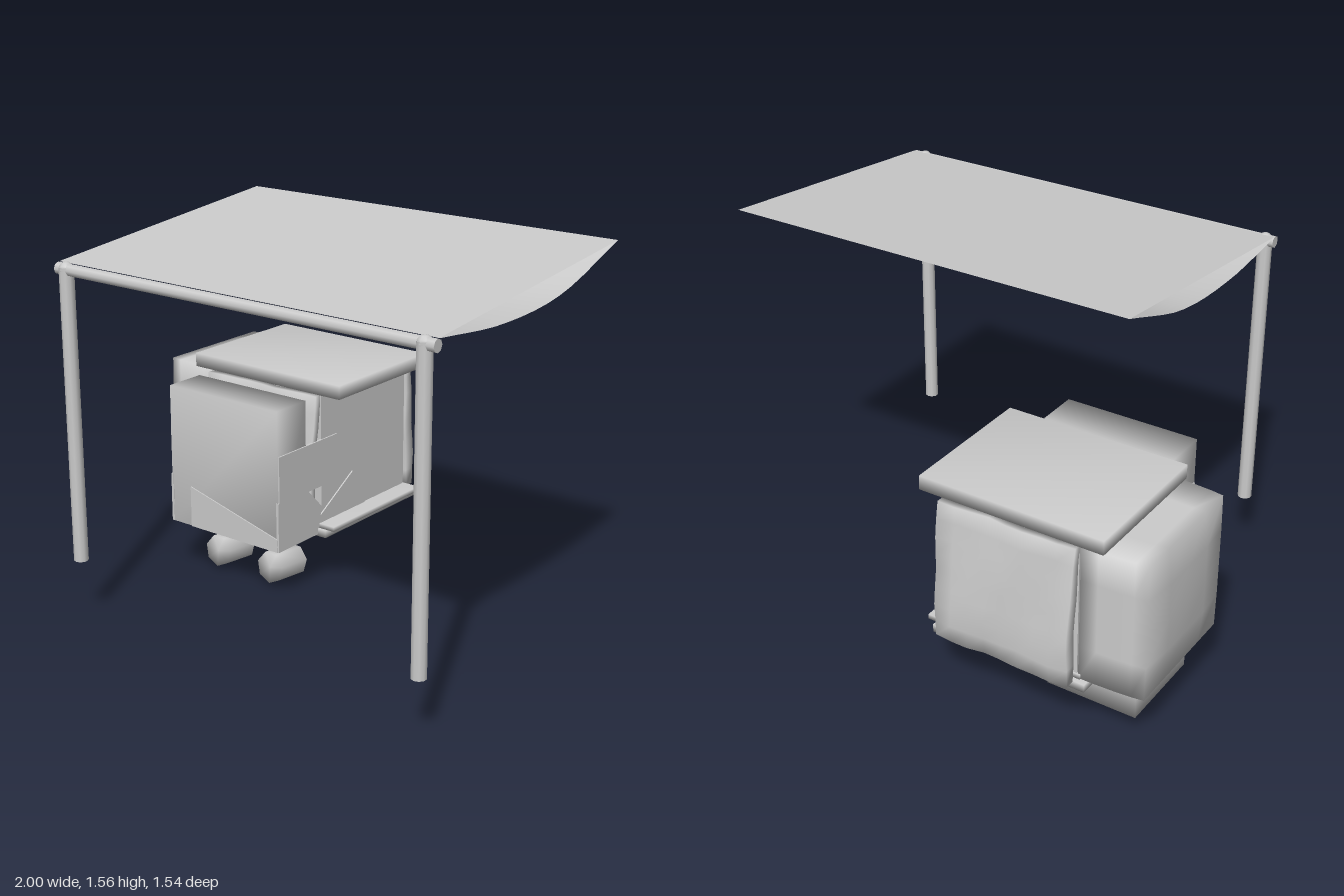
import * as THREE from 'three';
import { mergeVertices } from 'three/addons/utils/BufferGeometryUtils.js';

const material = new THREE.MeshStandardMaterial({ color: 0xcccccc });
const flat = new THREE.MeshStandardMaterial({ color: 0xcccccc, flatShading: true });
const open = new THREE.MeshStandardMaterial({ color: 0xcccccc, side: THREE.DoubleSide });

// Shared corner normals give the boxes their soft, padded shading.
function soften(geometry) {
  geometry.deleteAttribute('normal');
  geometry.deleteAttribute('uv');
  const merged = mergeVertices(geometry);
  merged.computeVertexNormals();
  return merged;
}

// Moves every vertex by a rule.
function bend(geometry, rule) {
  const p = geometry.attributes.position;
  const v = new THREE.Vector3();
  for (let i = 0; i < p.count; i++) {
    rule(v.fromBufferAttribute(p, i));
    p.setXYZ(i, v.x, v.y, v.z);
  }
  geometry.computeVertexNormals();
  return geometry;
}

// Box given by its lower and upper limits on each axis.
function boxGeometry([x0, x1], [y0, y1], [z0, z1], segments = [1, 1, 1]) {
  const g = new THREE.BoxGeometry(x1 - x0, y1 - y0, z1 - z0, ...segments);
  return g.translate((x0 + x1) / 2, (y0 + y1) / 2, (z0 + z1) / 2);
}

function add(parent, name, geometry, mat = material) {
  const mesh = new THREE.Mesh(geometry, mat);
  mesh.name = name;
  parent.add(mesh);
  return mesh;
}

// Linear interpolation through [position, value] pairs.
function lerpTable(table, t) {
  for (let i = 1; i < table.length; i++) {
    const [a, va] = table[i - 1];
    const [b, vb] = table[i];
    if (t <= b) return THREE.MathUtils.mapLinear(t, a, b, va, vb);
  }
  return table[table.length - 1][1];
}

function createCanopy() {
  const canopy = new THREE.Group();
  canopy.name = 'canopy';
  const xs = [-0.715, 1], zs = [-0.395, 0.735];
  const width = xs[1] - xs[0], depth = zs[1] - zs[0];
  const midX = (xs[0] + xs[1]) / 2, midZ = (zs[0] + zs[1]) / 2;

  // Taut upper sheet, rising towards the back
  const top = new THREE.PlaneGeometry(width, depth).rotateX(-Math.PI / 2).translate(midX, 0, midZ);
  bend(top, v => { v.y = THREE.MathUtils.mapLinear(v.z, zs[0], zs[1], 1.56, 1.445); });
  add(canopy, 'canopyTop', top, open);

  // Sagging underside with two deeper folds
  const edge = new THREE.CatmullRomCurve3([[-0.395, 1.56], [0, 1.435], [0.37, 1.41], [0.735, 1.443]]
    .map(([z, y]) => new THREE.Vector3(0, y, z)));
  const profile = edge.getPoints(40).map(p => [p.z, p.y]);
  const folds = [[-0.715, 0], [-0.3, 0.012], [-0.07, 0.045], [0.14, 0.025], [0.35, 0.045], [0.6, 0.012], [1, 0]];
  const sag = new THREE.PlaneGeometry(width, depth, 32, 14).rotateX(-Math.PI / 2).translate(midX, 0, midZ);
  bend(sag, v => {
    const across = Math.sin(Math.PI * (v.z - zs[0]) / depth);
    v.y = lerpTable(profile, v.z) - lerpTable(folds, v.x) * across;
  });
  add(canopy, 'canopyUnderside', sag, open);

  // Front rail and the two posts
  const rail = new THREE.CylinderGeometry(0.024, 0.024, width, 8).rotateZ(Math.PI / 2);
  add(canopy, 'frontRail', rail).position.set(midX, 1.42, 0.745);
  for (const x of [-0.673, 0.95]) {
    const post = add(canopy, 'post', new THREE.CylinderGeometry(0.029, 0.029, 1.18, 10));
    post.position.set(x, 0.84, 0.745);
    const cap = add(canopy, 'postCap', new THREE.SphereGeometry(0.03, 8, 6));
    cap.position.set(x, 1.42, 0.745);
  }
  return canopy;
}

// Flat side flap: outline of [z, y] points extruded a little along x
function flapGeometry(points, x) {
  const shape = new THREE.Shape(points.map(([z, y]) => new THREE.Vector2(-z, y)));
  return new THREE.ExtrudeGeometry(shape, { depth: 0.012, bevelEnabled: false })
    .rotateY(Math.PI / 2).translate(x - 0.006, 0, 0);
}

function createPack() {
  const pack = new THREE.Group();
  pack.name = 'pack';
  const bodyX = [-0.715, -0.145];

  // Main body, lid and base boards
  add(pack, 'body', boxGeometry(bodyX, [0.25, 0.82], [-0.685, -0.11]));
  add(pack, 'lid', soften(boxGeometry([-0.815, -0.045], [0.82, 0.878], [-0.695, -0.1])));
  add(pack, 'upperBaseBoard', soften(boxGeometry([-0.73, -0.065], [0.25, 0.27], [-0.69, -0.09])));
  add(pack, 'lowerBaseBoard', soften(boxGeometry([-0.76, -0.1], [0.217, 0.25], [-0.71, -0.08])));
  add(pack, 'bottomPouch', soften(boxGeometry([-0.905, -0.53], [0.08, 0.25], [-0.585, -0.21])));

  // Side pouch, slightly narrower at its outer face
  const side = boxGeometry([-1, -0.72], [0.25, 0.82], [-0.685, -0.115], [4, 4, 4]);
  bend(side, v => {
    const out = THREE.MathUtils.clamp((-0.72 - v.x) / 0.28, 0, 1);
    v.z = -0.4 + (v.z + 0.4) * (1 - 0.06 * out * out);
    const rim = Math.max(Math.abs(v.y - 0.535), Math.abs(v.z + 0.4)) / 0.285;
    if (out > 0.9) v.x += 0.02 * rim * rim;
  });
  add(pack, 'sidePouch', soften(side));

  // Front pouch with its wrapped side flaps
  add(pack, 'frontPouch', soften(boxGeometry(bodyX, [0.225, 0.82], [-0.01, 0.17])));
  const band = [[0.165, 0.43], [-0.16, 0.43], [-0.208, 0.49], [-0.208, 0.63], [0.165, 0.63]];
  const lower = [[0.172, 0.225], [-0.09, 0.225], [-0.09, 0.29], [-0.112, 0.335], [-0.015, 0.435], [0.172, 0.435]];
  const strap = [[-0.06, 0.28], [-0.315, 0.435], [-0.4, 0.395], [-0.4, 0.27], [-0.1, 0.26]];
  for (const x of bodyX) {
    add(pack, 'bandFlap', flapGeometry(band, x));
    add(pack, 'lowerFlap', flapGeometry(lower, x));
    add(pack, 'strapFlap', flapGeometry(strap, x));
  }

  // Sloping fold across the foot of the front pouch
  const fold = new THREE.Shape([[-0.61, 0.225], [-0.145, 0.225], [-0.145, 0.28], [-0.61, 0.4]]
    .map(([x, y]) => new THREE.Vector2(x, y)));
  add(pack, 'frontFold', new THREE.ExtrudeGeometry(fold, { depth: 0.012, bevelEnabled: false }).translate(0, 0, 0.163));

  // Crumpled cloth panels on the back and behind the front pouch
  const crumple = v => 0.008 * Math.sin(17 * v.x + 9 * v.y) + 0.005 * Math.sin(31 * v.x - 23 * v.y);
  const backPanel = boxGeometry(bodyX, [0.25, 0.82], [-0.5, 0.5], [8, 8, 1]);
  bend(backPanel, v => {
    const outer = lerpTable([[0.25, -0.755], [0.38, -0.763], [0.6, -0.745], [0.82, -0.72]], v.y);
    v.z = (v.z < 0 ? outer : lerpTable([[0.25, -0.715], [0.82, -0.69]], v.y)) + crumple(v) * 0.7;
  });
  add(pack, 'backPanel', soften(backPanel));
  const frontPanel = boxGeometry(bodyX, [0.25, 0.82], [-0.5, 0.5], [8, 8, 1]);
  bend(frontPanel, v => {
    const centre = lerpTable([[0.25, -0.05], [0.63, -0.065], [0.82, -0.088]], v.y);
    v.z = centre + v.z * 0.03 + crumple(v) * 0.6;
  });
  add(pack, 'frontPanel', soften(frontPanel));

  // Two small rolls beneath, tipped up at the front
  for (const x of [-0.575, -0.288]) {
    const roll = add(pack, 'roll', soften(new THREE.CylinderGeometry(0.068, 0.068, 0.16, 7)));
    roll.rotation.x = Math.PI / 2 - 0.09;
    roll.position.set(x, 0.074, -0.027);
  }
  return pack;
}

export function createModel() {
  const model = new THREE.Group();
  model.name = 'campShelter';
  model.add(createCanopy(), createPack());
  return model;
}
